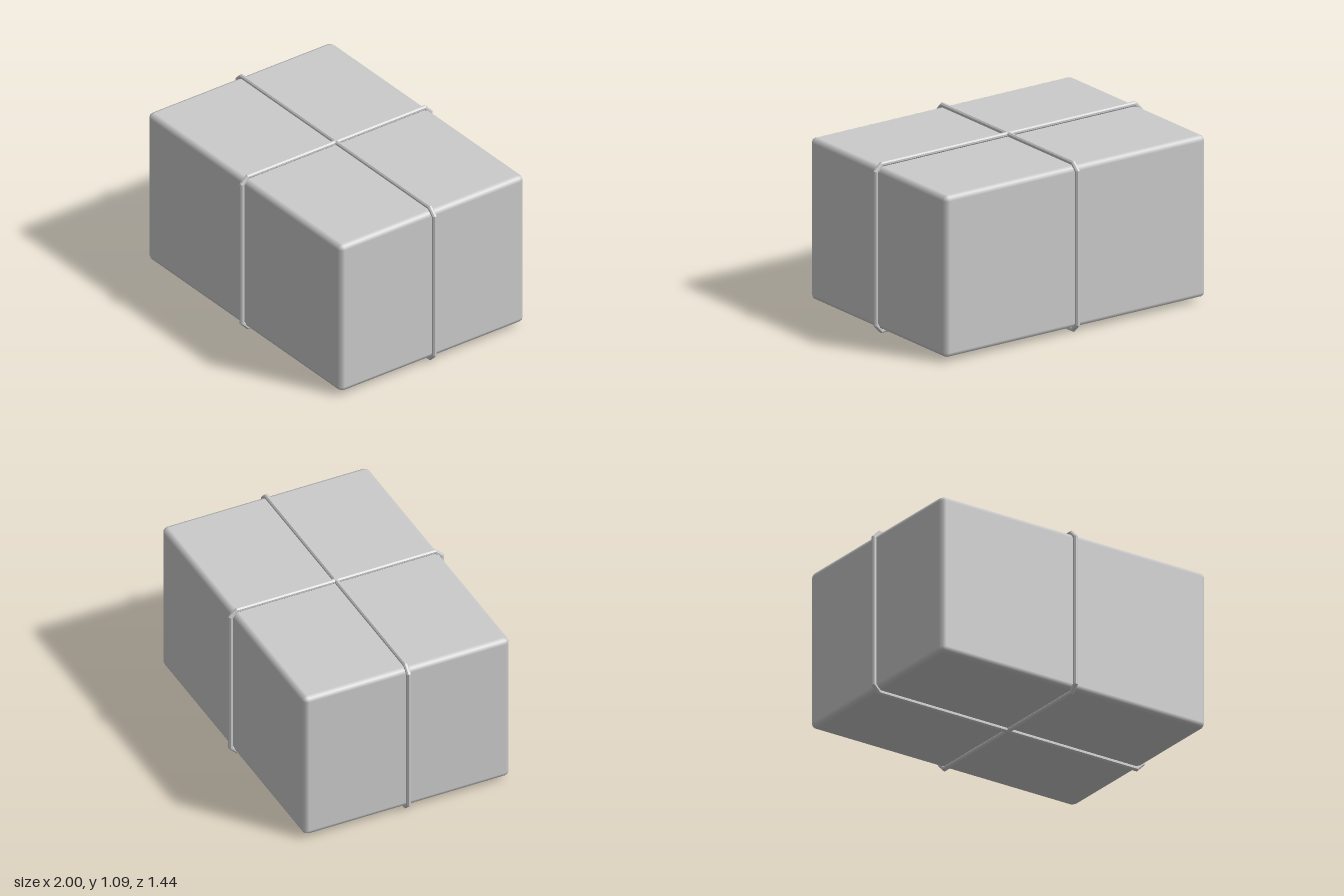
import * as THREE from 'three';
import { RoundedBoxGeometry } from 'three/addons/geometries/RoundedBoxGeometry.js';

const MID_Y = 0.5425;   // height of the parcel's centre
const R = 0.014;        // string radius

// Closed string around a rectangle with cut corners, mitred at every bend.
// a, b: half sizes along the string's centre line; cut: corner cut there.
function stringLoop(a, b, cut, sides = 8) {
  const pos = [], idx = [];
  for (let j = 0; j < sides; j++) {
    const t = ((j + 0.5) / sides) * Math.PI * 2;
    const u = (R / Math.cos(Math.PI / sides)) * Math.cos(t);
    const v = (R / Math.cos(Math.PI / sides)) * Math.sin(t);
    const A = a + u, B = b + u, c = cut + u * (2 - Math.SQRT2);
    const path = [
      [A, -B + c], [A, B - c], [A - c, B], [-A + c, B],
      [-A, B - c], [-A, -B + c], [-A + c, -B], [A - c, -B],
    ];
    for (const [x, y] of path) pos.push(x, y, v);
  }
  for (let j = 0; j < sides; j++) {
    for (let i = 0; i < 8; i++) {
      const k = (i + 1) % 8, n = (j + 1) % sides;
      const p = j * 8 + i, q = j * 8 + k, r = n * 8 + k, s = n * 8 + i;
      idx.push(p, q, r, p, r, s);
    }
  }
  const g = new THREE.BufferGeometry();
  g.setAttribute('position', new THREE.Float32BufferAttribute(pos, 3));
  g.setIndex(idx);
  g.computeVertexNormals();
  return g;
}

export function createModel() {
  const model = new THREE.Group();
  model.name = 'parcel';

  // Box with softly bevelled edges
  const box = new THREE.Mesh(
    new RoundedBoxGeometry(1.944, 1.03, 1.384, 1, 0.033),
    new THREE.MeshStandardMaterial({ color: 0xcccccc })
  );
  box.name = 'box';
  box.position.y = MID_Y;
  model.add(box);

  // Two strings crossing on the top and bottom
  const stringMat = new THREE.MeshStandardMaterial({ color: 0xcccccc, flatShading: true });
  const loops = [
    ['lengthwiseString', 1 - R, 0],
    ['crosswiseString', 0.72 - R, Math.PI / 2],
  ];
  for (const [name, half, turn] of loops) {
    const loop = new THREE.Mesh(stringLoop(half, MID_Y - R, 0.042), stringMat);
    loop.name = name;
    loop.position.y = MID_Y;
    loop.rotation.y = turn;
    model.add(loop);
  }
  return model;
}
